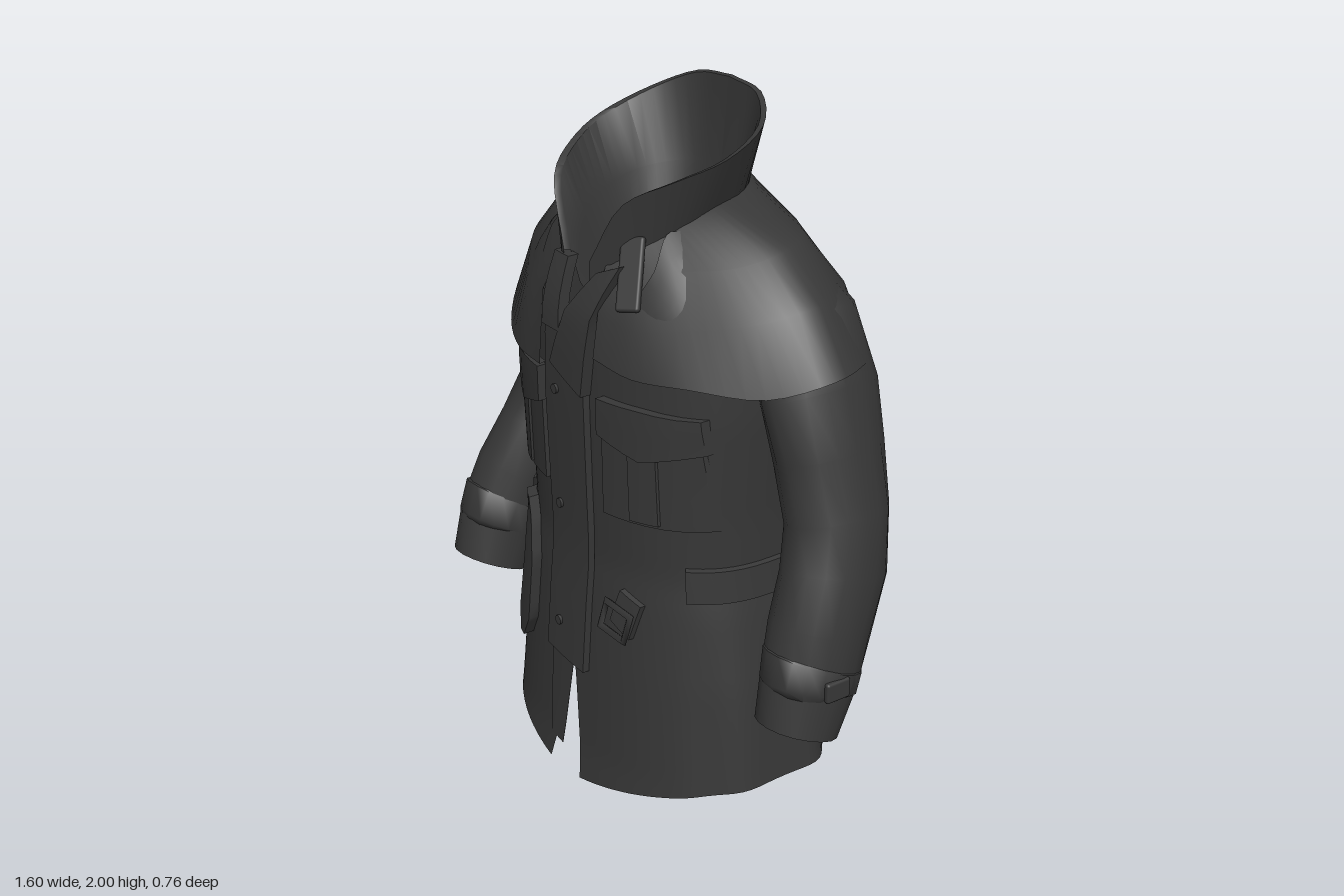
import * as THREE from 'three';
import { toCreasedNormals } from 'three/addons/utils/BufferGeometryUtils.js';
import { RoundedBoxGeometry } from 'three/addons/geometries/RoundedBoxGeometry.js';

const cloth = new THREE.MeshStandardMaterial({ color: 0x373737, side: THREE.DoubleSide });
cloth.name = 'charcoal cloth';

const { lerp, smoothstep, clamp } = THREE.MathUtils;
const V = (x, y, z) => new THREE.Vector3(x, y, z);

// Torso profile: height, half width, front depth, back depth
const PROFILE = [
  [0, .545, .378, -.35], [.1, .535, .365, -.345], [.4, .5, .35, -.325], [.62, .465, .338, -.295], [.72, .445, .33, -.28],
  [.9, .45, .335, -.3], [1.2, .47, .342, -.315], [1.35, .47, .342, -.31], [1.45, .46, .335, -.3], [1.52, .42, .315, -.27],
  [1.6, .36, .285, -.23], [1.68, .24, .255, -.18]];

function profile(y) {
  let i = 1;
  while (i < PROFILE.length - 1 && PROFILE[i][0] < y) i++;
  const a = PROFILE[i - 1], b = PROFILE[i];
  const t = clamp((y - a[0]) / (b[0] - a[0]), 0, 1);
  return [1, 2, 3].map(k => lerp(a[k], b[k], t));
}

// Point on the torso; angle 0 is the front, half a turn is the back
function torso(a, y, lift = 0) {
  const [w, f, b] = profile(y);
  const s = Math.max(0, Math.sin(a)), c = Math.cos(a);
  const skirt = .012 * smoothstep(.7 - y, 0, .5) * smoothstep(a, .6, 1.2);
  const back = .01 * smoothstep(a, 1.6, 2.4) * (1 - smoothstep(y, 1.1, 1.4));
  const r = 1 + (skirt + back) * Math.sin(a * 11) * Math.min(1, s * 1.5);
  return V((w + lift) * r * s ** .85, y, (c > 0 ? f + lift : b - lift) * r * Math.abs(c) ** .8);
}

function frontZ(x, y) {
  const [w, f] = profile(y);
  const s = Math.min(.97, Math.abs(x) / w) ** (1 / .85);
  return f * Math.sqrt(1 - s * s) ** .8;
}

// Surface through a grid of points, one array per row
function surface(rows, crease) {
  const n = rows[0].length, index = [];
  for (let j = 0; j < rows.length - 1; j++) for (let i = 0; i < n - 1; i++) {
    const p = j * n + i;
    index.push(p, p + 1, p + n, p + 1, p + n + 1, p + n);
  }
  const g = new THREE.BufferGeometry().setFromPoints(rows.flat());
  g.setIndex(index);
  if (crease) return toCreasedNormals(g, crease);
  g.computeVertexNormals();
  return g;
}

// Smooth rails sampled to the same number of points, mirrored by s
const rail = (pts, s, n = 24) =>
  new THREE.CatmullRomCurve3(pts.map(p => V(p[0] * s, p[1], p[2]))).getPoints(n);

// Raised cloth piece on the front; rows of [x, y] points
function patch(rows, lift) {
  const n = 6, m = 4, grid = [];
  const along = (row, t) => {
    const k = t * (row.length - 1), i = Math.min(row.length - 2, Math.floor(k));
    return [0, 1].map(c => lerp(row[i][c], row[i + 1][c], k - i));
  };
  const total = (rows.length - 1) * m;
  for (let j = -1; j <= total + 1; j++) {
    const v = clamp(j, 0, total) / m, k = Math.min(rows.length - 2, Math.floor(v)), line = [];
    for (let i = -1; i <= n + 1; i++) {
      const u = clamp(i, 0, n) / n, a = along(rows[k], u), b = along(rows[k + 1], u);
      const x = lerp(a[0], b[0], v - k), y = lerp(a[1], b[1], v - k);
      const edge = i < 0 || j < 0 || i > n || j > total;
      line.push(V(x, y, frontZ(x, y) + (edge ? .001 : lift)));
    }
    grid.push(line);
  }
  return surface(grid, .7);
}

// Sleeve from stations [x, y, z, radius across, radius deep]
function sleeve(stations, s) {
  const shift = y => s > 0 ? -.015 : .015 + .1 * (1 - smoothstep(y, .4, 1.05));
  const P = stations.map(p => V(p[0] * s, p[1], p[2] + shift(p[1])));
  const last = P.length - 1;
  const rows = P.map((p, i) => {
    const k = clamp(i, 1, last - 1);
    const t = P[k].clone().sub(P[k - 1]).normalize();
    const u = V(0, 0, 1).cross(t).normalize(), v = t.clone().cross(u), ring = [];
    for (let j = 0; j <= 18; j++) {
      const a = j / 18 * Math.PI * 2, crumple = 1 + .02 * Math.sin(a * 3 + i * 2.1);
      ring.push(p.clone().addScaledVector(u, Math.cos(a) * stations[i][3] * crumple)
        .addScaledVector(v, Math.sin(a) * stations[i][4] * crumple));
    }
    return ring;
  });
  return surface(rows, 1);
}

const ARM = [[.4, 1.58, -.06, .07, .1], [.46, 1.46, -.07, .12, .16], [.53, 1.28, -.07, .122, .178], [.575, 1.12, -.075, .118, .168],
  [.618, .95, -.075, .122, .155], [.645, .8, -.04, .125, .158], [.662, .65, .015, .122, .155], [.672, .52, .05, .116, .148],
  [.672, .38, .1, .112, .122], [.672, .4, .09, .01, .01]];
const CUFF = [[.668, .575, .036, .115, .147], [.668, .57, .038, .122, .155], [.672, .5, .06, .12, .147], [.672, .495, .061, .112, .138],
  [.672, .49, .062, .1, .12]];

// Collar rails, from centre back to the front point; the lining drops deep inside
const COLLAR_TOP = [[0, 2, -.2], [.14, 1.985, -.19], [.25, 1.93, -.11], [.285, 1.87, .04], [.24, 1.825, .17], [.16, 1.765, .28], [.06, 1.59, .32]];
const COLLAR_MID = [[0, 1.75, -.165], [.1, 1.745, -.15], [.175, 1.73, -.07], [.19, 1.71, .04], [.17, 1.67, .14], [.1, 1.61, .24], [.03, 1.5, .29]];
const COLLAR_IN = [[0, 1.5, -.1], [.075, 1.5, -.08], [.125, 1.49, -.02], [.135, 1.48, .04], [.11, 1.47, .12], [.06, 1.45, .2], [.005, 1.42, .25]];
const COLLAR_OUT = [[0, 1.74, -.185], [.11, 1.74, -.17], [.19, 1.72, -.09], [.215, 1.7, .04], [.2, 1.66, .15], [.15, 1.6, .245], [.06, 1.48, .325]];

// Cape rails, from centre back to the front edge
const CAPE_TOP = [[0, 1.77, -.185], [.1, 1.765, -.175], [.17, 1.755, -.13], [.21, 1.74, -.06], [.22, 1.73, .02], [.22, 1.7, .1], [.19, 1.67, .17], [.15, 1.64, .235], [.1, 1.6, .29]];
const CAPE_SHOULDER = [[0, 1.65, -.255], [.2, 1.655, -.24], [.34, 1.665, -.17], [.43, 1.665, -.09], [.45, 1.65, 0], [.4, 1.62, .1], [.3, 1.6, .185], [.2, 1.575, .26], [.11, 1.55, .315]];
const CAPE_MID = [[0, 1.49, -.32], [.23, 1.5, -.31], [.43, 1.52, -.25], [.54, 1.53, -.14], [.57, 1.53, -.02], [.51, 1.5, .11], [.38, 1.47, .225], [.25, 1.45, .312], [.13, 1.46, .345]];
const capeHem = f => [[0, 1.3, -.385], [.25, 1.3, -.375], [.46, 1.32, -.315], [.61, 1.36, -.18], [.675, 1.365, -.02], [.58, 1.32, .13],
  [.42, 1.265 + f * .65, .268], [.27, 1.245 + f * .8, .338], [.13, 1.245 + f, .362]];

export function createModel() {
  const coat = new THREE.Group();
  coat.name = 'coat';
  const add = (name, geometry) => {
    const mesh = new THREE.Mesh(geometry, cloth);
    mesh.name = name;
    coat.add(mesh);
    return mesh;
  };

  for (const s of [1, -1]) {
    const side = s > 0 ? 'left' : 'right';
    const flip = p => { p.x *= s; return p; };

    // Body half, open at the hem, the front gap and the back vent
    const body = [];
    for (let j = 0; j <= 36; j++) {
      const row = [];
      for (let i = 0; i <= 48; i++) {
        const a0 = i / 48 * Math.PI, sn = Math.sin(a0);
        const hem = a0 < Math.PI / 2 ? .11 * sn : .07 + .04 * sn;
        const top = lerp(1.42, 1.68, smoothstep(a0, .1, 1));
        const y = lerp(hem, top, j / 36), open = clamp(1 - y / .36, 0, 1);
        row.push(flip(torso(lerp((s > 0 ? .06 : .14) * open, Math.PI - .02 * open, i / 48), y)));
      }
      body.push(row);
    }
    add(side + 'Body', surface(body));

    // Sleeve and cuff band
    add(side + 'Sleeve', sleeve(ARM, s));
    add(side + 'Cuff', sleeve(CUFF, s));
    const tab = add(side + 'CuffTab', new RoundedBoxGeometry(.02, .06, .08, 2, .008));
    tab.position.set(s * .788, .53, s > 0 ? .04 : .16);

    // Cape half with a folded hem
    const hem = capeHem(s > 0 ? .1 : 0);
    const fold = hem.map(p => [p[0] * .97, p[1] + .006, p[2] * .95]);
    add(side + 'Cape', surface([CAPE_TOP, CAPE_SHOULDER, CAPE_MID, hem, fold].map(r => rail(r, s, 32)), 1));

    // Collar half: outside, rolled rim, inside and lining
    const rim = COLLAR_TOP.map(p => [p[0] * .94, p[1] - .003, p[2] * .94]);
    add(side + 'Collar', surface([COLLAR_OUT, COLLAR_TOP, rim, COLLAR_MID, COLLAR_IN].map(r => rail(r, s)), .9));

    // Belt half, stopping short of the front
    const belt = [[.67, -.005], [.675, .015], [.77, .015], [.775, -.005]].map(([y, lift]) =>
      Array.from({ length: 25 }, (_, i) => flip(torso(lerp(.9, Math.PI, i / 24), y, lift))));
    add(side + 'Belt', surface(belt, .8));

    // Chest pocket, its pleat and pointed flap
    const m = rows => rows.map(r => r.map(([x, y]) => [x * s, y]));
    add(side + 'Pocket', patch(m([[[.145, 1.2], [.41, 1.2]], [[.14, .89], [.425, .89]]]), .016));
    add(side + 'PocketPleat', patch(m([[[.24, 1.12], [.32, 1.12]], [[.24, .9], [.32, .9]]]), .024));
    add(side + 'PocketFlap', patch(m([[[.14, 1.235], [.28, 1.235], [.42, 1.225]], [[.14, 1.13], [.28, 1.085], [.425, 1.125]]]), .03));
  }

  // Button placket, the layer under it and the two open edges above it
  add('placket', patch([[[-.1, 1.4], [.06, 1.36]], [[-.11, 1.2], [.08, 1.22]], [[-.1, .8], [.08, .8]], [[-.115, .38], [.07, .36]]], .022));
  add('underLayer', patch([[[-.12, .4], [0, .38]], [[-.11, .08], [-.045, .07]]], .002));
  add('rightLapel', patch([[[-.1, 1.58], [-.03, 1.58]], [[-.1, 1.38], [-.015, 1.38]]], .035));
  add('leftLapel', patch([[[.1, 1.57], [.17, 1.6]], [[.01, 1.45], [.12, 1.45]], [[-.06, 1.28], [.085, 1.22]]], .035));
  for (const y of [1.2, .85, .48]) {
    const button = add('button', new THREE.CylinderGeometry(.014, .014, .012, 10));
    button.rotation.x = Math.PI / 2;
    button.position.set(-.05, y, frontZ(.05, y) + .024);
  }

  // Collar strap
  const strap = add('collarStrap', new RoundedBoxGeometry(.07, .2, .02, 2, .009));
  strap.position.set(.185, 1.58, .275);
  strap.rotation.set(-.5, .4, .35);

  // Hanging belt end
  add('beltEnd', patch([[[-.33, .77], [-.27, .77]], [[-.31, .69], [-.24, .69]], [[-.3, .6], [-.215, .6]],
    [[-.325, .4], [-.225, .4]], [[-.3, .33], [-.265, .33]]], .035));

  // Buckle side of the belt
  add('buckleStrap', patch([[[.2, .67], [.27, .64]], [[.17, .57], [.24, .53]]], .018));
  const buckle = add('buckle', new THREE.TorusGeometry(.062, .014, 4, 4));
  buckle.position.set(.195, .575, frontZ(.195, .575) + .022);
  buckle.rotation.set(0, .25, .5);

  return coat;
}
